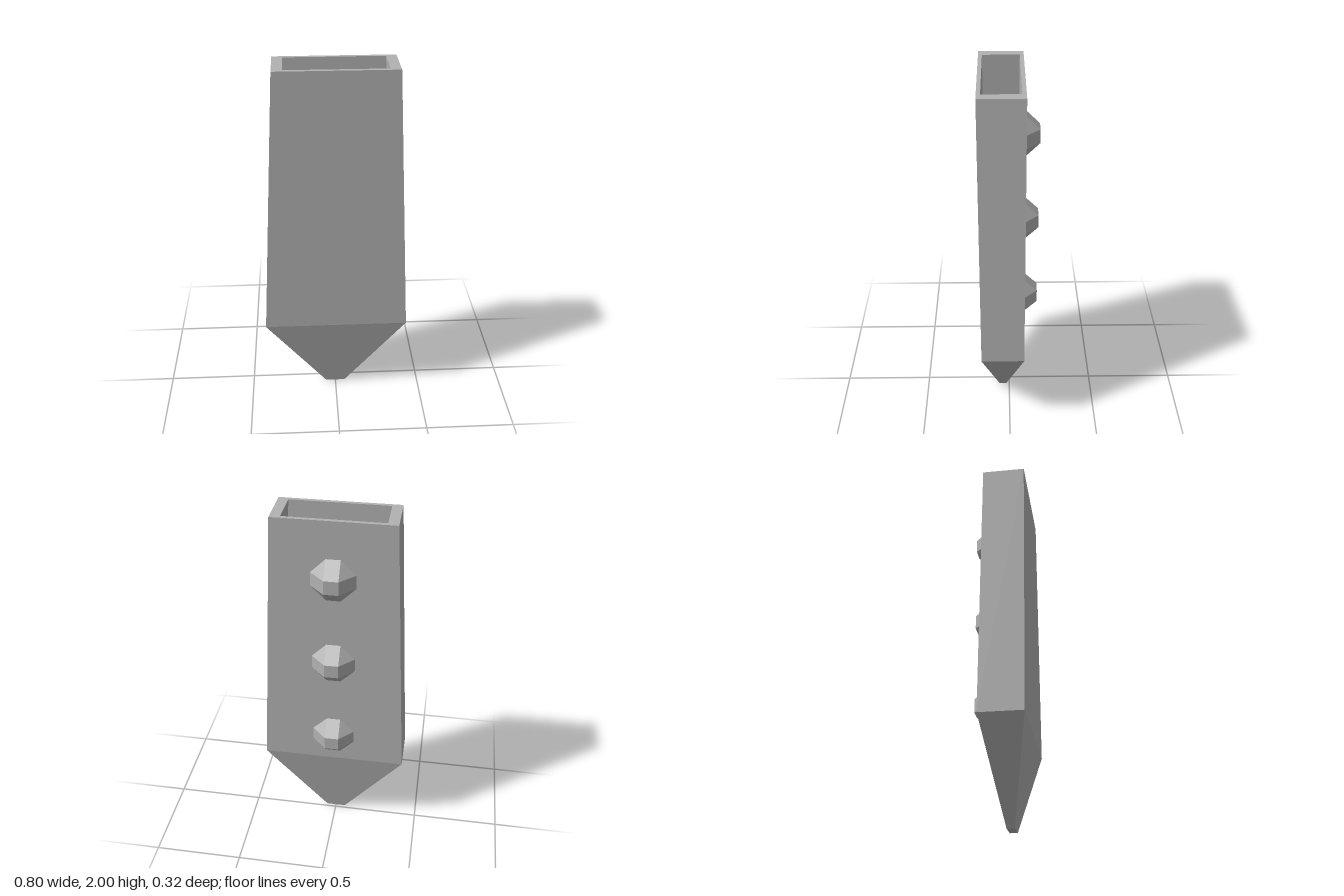
import * as THREE from 'three';

// Flat-faced skin through a list of equal-length rings, optionally capped at the last one.
function loft(rings, capEnd) {
  const pos = [];
  const tri = (a, b, c) => pos.push(...a, ...b, ...c);
  for (let r = 0; r < rings.length - 1; r++) {
    const lo = rings[r], hi = rings[r + 1], n = lo.length;
    for (let i = 0; i < n; i++) {
      const j = (i + 1) % n;
      tri(lo[i], lo[j], hi[j]);
      tri(lo[i], hi[j], hi[i]);
    }
  }
  if (capEnd) {
    const e = rings[rings.length - 1];
    for (let i = 1; i < e.length - 1; i++) tri(e[0], e[i], e[i + 1]);
  }
  const g = new THREE.BufferGeometry();
  g.setAttribute('position', new THREE.Float32BufferAttribute(pos, 3));
  g.computeVertexNormals();
  return g;
}

const MID_Z = 0.039;

// Horizontal rectangle at height y; winding runs clockwise seen from above.
const rect = (y, hx, hz) => [
  [-hx, y, MID_Z - hz], [hx, y, MID_Z - hz], [hx, y, MID_Z + hz], [-hx, y, MID_Z + hz],
];

export function createModel() {
  const group = new THREE.Group();
  const grey = new THREE.MeshStandardMaterial({ color: 0xb2b2b2, flatShading: true });
  grey.name = 'grey';
  const add = (name, geo) => {
    const m = new THREE.Mesh(geo, grey);
    m.name = name;
    group.add(m);
    return m;
  };

  // Hollow tapering sheath: outer wall, rim, inner wall and cavity floor
  add('sheath', loft([
    rect(0, 0.056, 0.021),
    rect(0.493, 0.402, 0.118),
    rect(2, 0.314, 0.118),
    rect(2, 0.26, 0.0975),
    rect(0.493, 0.346, 0.0975),
    rect(0.05, 0.039, 0.011),
  ].map((ring) => ring.reverse()), true));

  // Blunt closed tip
  const tip = add('tip', new THREE.PlaneGeometry(0.112, 0.042));
  tip.rotation.x = Math.PI / 2;
  tip.position.z = MID_Z;

  // Three faceted studs on the back: octagonal base, square top
  const a = 0.038, b = 0.117;
  const base = [[b, -a], [b, a], [a, b], [-a, b], [-b, a], [-b, -a], [-a, -b], [a, -b]];
  const stud = loft([
    base.map(([x, y]) => [x, y, 0]),
    base.map(([x, y]) => [Math.sign(x) * a, Math.sign(y) * a, 0.08]),
  ], true);
  // Collapsed corner triangles have no area, so the flat normals stay clean
  [0.668, 1.174, 1.68].forEach((y, i) => {
    const m = add('stud' + (i + 1), stud);
    m.rotation.y = Math.PI;
    m.position.set(0, y, MID_Z - 0.118);
  });
  return group;
}
